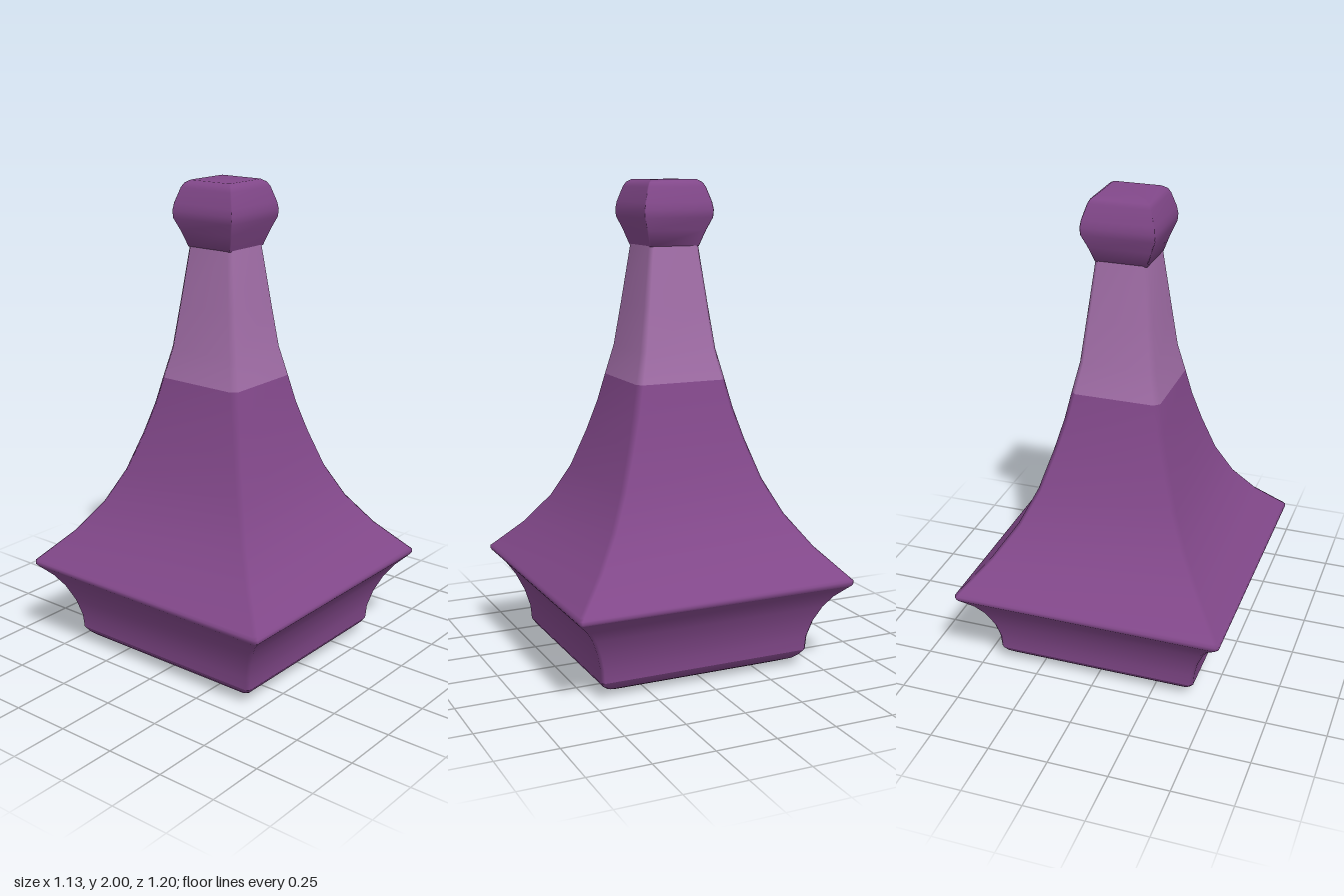
import * as THREE from 'three';

const purple = new THREE.MeshStandardMaterial({ color: 0x82488a });
purple.name = 'purple';
const lilac = new THREE.MeshStandardMaterial({ color: 0xa26ea8 });
lilac.name = 'lilac';

// One rectangular ring with small chamfered corners, running from +x towards +z
function ring([y, hx, hz, c]) {
  const points = [];
  for (const [sx, sz, xFirst] of [[1, 1, true], [-1, 1, false], [-1, -1, true], [1, -1, false]]) {
    const onX = [sx * hx, y, sz * (hz - c)];
    const onZ = [sx * (hx - c), y, sz * hz];
    points.push(...(xFirst ? [onX, onZ] : [onZ, onX]));
  }
  return points;
}

// Skin stacked rings [y, half width, half depth, chamfer], with optional end caps
function loft(name, material, sections, { bottom = false, top = false } = {}) {
  const n = 8;
  const points = sections.flatMap(ring);
  const index = [];
  for (let j = 0; j < sections.length - 1; j++) {
    for (let i = 0; i < n; i++) {
      const a = j * n + i, b = j * n + (i + 1) % n;
      index.push(a, a + n, b, b, a + n, b + n);
    }
  }
  const last = (sections.length - 1) * n;
  for (let i = 1; i < n - 1; i++) {
    if (bottom) index.push(0, i, i + 1);
    if (top) index.push(last, last + i + 1, last + i);
  }
  const geometry = new THREE.BufferGeometry();
  geometry.setAttribute('position', new THREE.Float32BufferAttribute(points.flat(), 3));
  geometry.setIndex(index);
  geometry.computeVertexNormals();
  const mesh = new THREE.Mesh(geometry, material);
  mesh.name = name;
  return mesh;
}

export function createModel() {
  const model = new THREE.Group();
  model.name = 'spire';
  model.add(
    // Rounded foot
    loft('foot', purple, [
      [0, 0.3, 0.33, 0.012], [0.008, 0.345, 0.375, 0.012], [0.03, 0.39, 0.42, 0.012],
      [0.05, 0.412, 0.443, 0.012], [0.072, 0.427, 0.458, 0.012],
    ], { bottom: true }),
    // Concave cove flaring out to the eave
    loft('cove', purple, [
      [0.072, 0.427, 0.458, 0.012], [0.13, 0.432, 0.462, 0.012], [0.2, 0.45, 0.481, 0.012],
      [0.27, 0.48, 0.512, 0.012], [0.32, 0.512, 0.546, 0.012], [0.355, 0.545, 0.58, 0.012],
      [0.37, 0.56, 0.595, 0.012],
    ]),
    // Thin eave edge
    loft('eave', purple, [
      [0.37, 0.56, 0.595, 0.012], [0.378, 0.565, 0.6, 0.012],
      [0.39, 0.565, 0.6, 0.012], [0.4, 0.555, 0.59, 0.012],
    ]),
    // Concave roof
    loft('roof', purple, [
      [0.4, 0.555, 0.59, 0.012], [0.52, 0.45, 0.475, 0.014], [0.65, 0.362, 0.382, 0.016],
      [0.79, 0.297, 0.314, 0.018], [0.95, 0.247, 0.26, 0.02], [1.08, 0.212, 0.223, 0.022],
      [1.195, 0.188, 0.197, 0.022],
    ]),
    // Pale neck
    loft('neck', lilac, [
      [1.195, 0.188, 0.197, 0.022], [1.32, 0.16, 0.167, 0.02], [1.5, 0.138, 0.141, 0.018],
      [1.74, 0.108, 0.109, 0.015],
    ]),
    // Faceted finial knob
    loft('finial', purple, [
      [1.735, 0.108, 0.108, 0.004], [1.8, 0.13, 0.13, 0.004], [1.85, 0.151, 0.15, 0.004],
      [1.88, 0.153, 0.152, 0.004], [1.91, 0.148, 0.147, 0.004], [1.97, 0.129, 0.128, 0.004],
      [1.988, 0.119, 0.118, 0.004], [2, 0.1, 0.1, 0.004],
    ], { bottom: true, top: true }),
  );
  return model;
}
